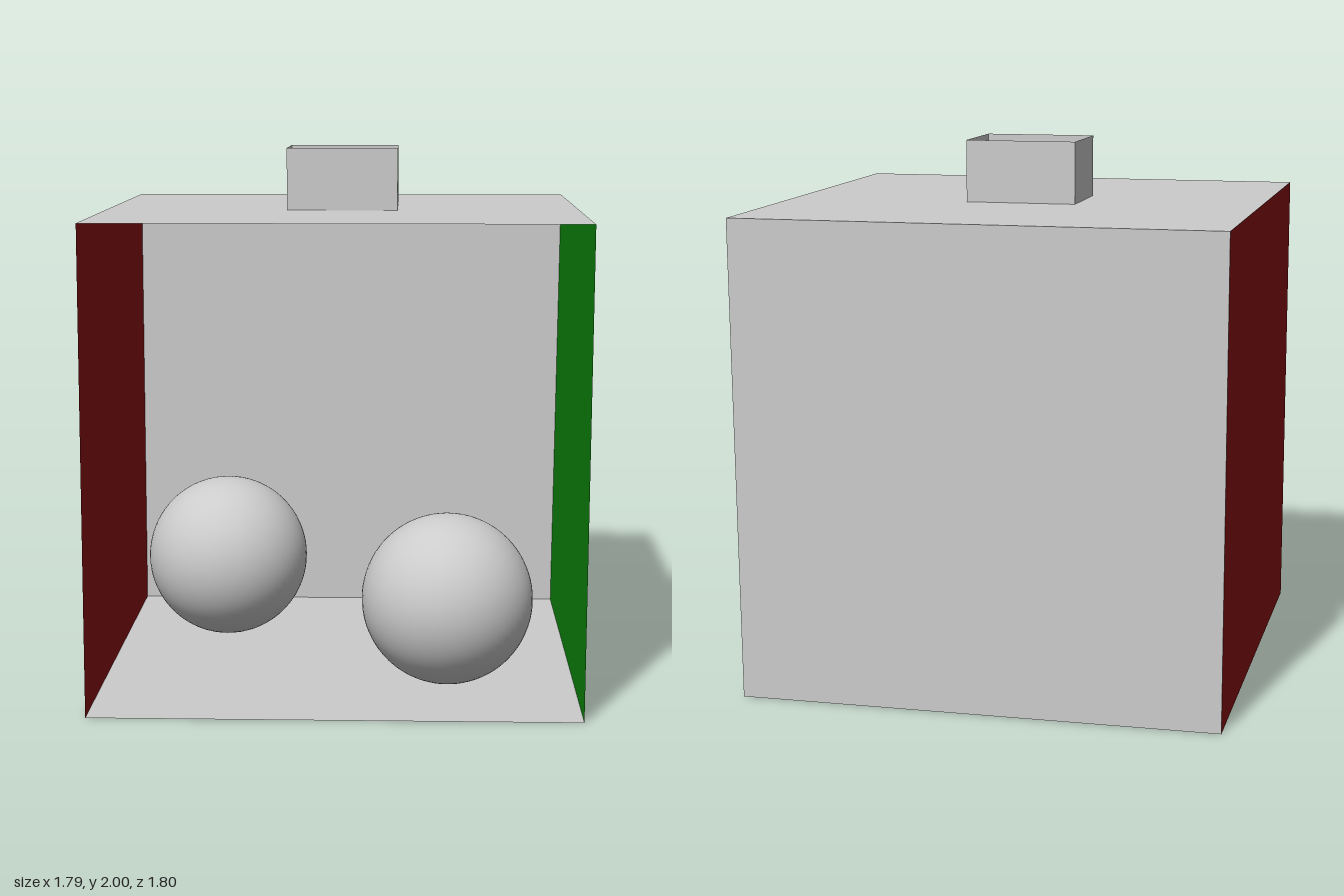
import * as THREE from 'three';

const W = 0.895, D = 0.9, H = 1.767, TOP = 2; // half width, half depth, ceiling, vent top
const VX = 0.209, VZ = 0.169; // half size of the ceiling opening
const BALL = 0.322;

const paint = (color) => new THREE.MeshStandardMaterial({ color, side: THREE.DoubleSide });

// Thin flat panel from four corners in order around its outline
function panel(name, corners, material) {
  const geometry = new THREE.BufferGeometry();
  geometry.setAttribute('position', new THREE.Float32BufferAttribute(corners.flat(), 3));
  geometry.setIndex([0, 1, 2, 0, 2, 3]);
  const flat = geometry.toNonIndexed();
  flat.computeVertexNormals();
  const mesh = new THREE.Mesh(flat, material);
  mesh.name = name;
  return mesh;
}

const rectangle = (Type, x, z) => new Type(
  [[-x, -z], [x, -z], [x, z], [-x, z]].map(([a, b]) => new THREE.Vector2(a, b)));

export function createModel() {
  const model = new THREE.Group();
  model.name = 'openRoom';
  const grey = paint(0xcccccc), red = paint(0x8b0e0e), green = paint(0x0e8b0e);

  // Floor corners; the left wall leans in slightly towards its foot
  const frontRight = [-W, 0, D], backRight = [-W, 0, -D];
  const frontLeft = [0.885, 0, D], backLeft = [0.875, 0, -D];
  // Ceiling corners
  const topFR = [-W, H, D], topBR = [-W, H, -D], topFL = [W, H, D], topBL = [W, H, -D];

  model.add(
    panel('floor', [frontRight, frontLeft, backLeft, backRight], grey),
    panel('backWall', [backRight, backLeft, topBL, topBR], grey),
    panel('rightWall', [backRight, frontRight, topFR, topBR], red),
    panel('leftWall', [frontLeft, backLeft, topBL, topFL], green),
  );

  // Ceiling with a rectangular opening
  const outline = rectangle(THREE.Shape, W, D);
  outline.holes.push(rectangle(THREE.Path, VX, VZ));
  const ceiling = new THREE.Mesh(new THREE.ShapeGeometry(outline).rotateX(-Math.PI / 2), grey);
  ceiling.name = 'ceiling';
  ceiling.position.y = H;
  model.add(ceiling);

  // Open light shaft standing around the opening
  const shaft = new THREE.Group();
  shaft.name = 'lightShaft';
  const ring = [[-VX, VZ], [VX, VZ], [VX, -VZ], [-VX, -VZ]];
  ring.forEach(([x0, z0], i) => {
    const [x1, z1] = ring[(i + 1) % 4];
    shaft.add(panel('shaftSide', [[x0, H, z0], [x1, H, z1], [x1, TOP, z1], [x0, TOP, z0]], grey));
  });
  model.add(shaft);

  // Two balls resting on the floor
  const ballMaterial = new THREE.MeshStandardMaterial({ color: 0xcccccc });
  for (const [name, x, z] of [['rearBall', -0.485, -0.33], ['frontBall', 0.403, 0.385]]) {
    const ball = new THREE.Mesh(new THREE.SphereGeometry(BALL, 64, 40), ballMaterial);
    ball.name = name;
    ball.position.set(x, BALL, z);
    model.add(ball);
  }
  return model;
}
